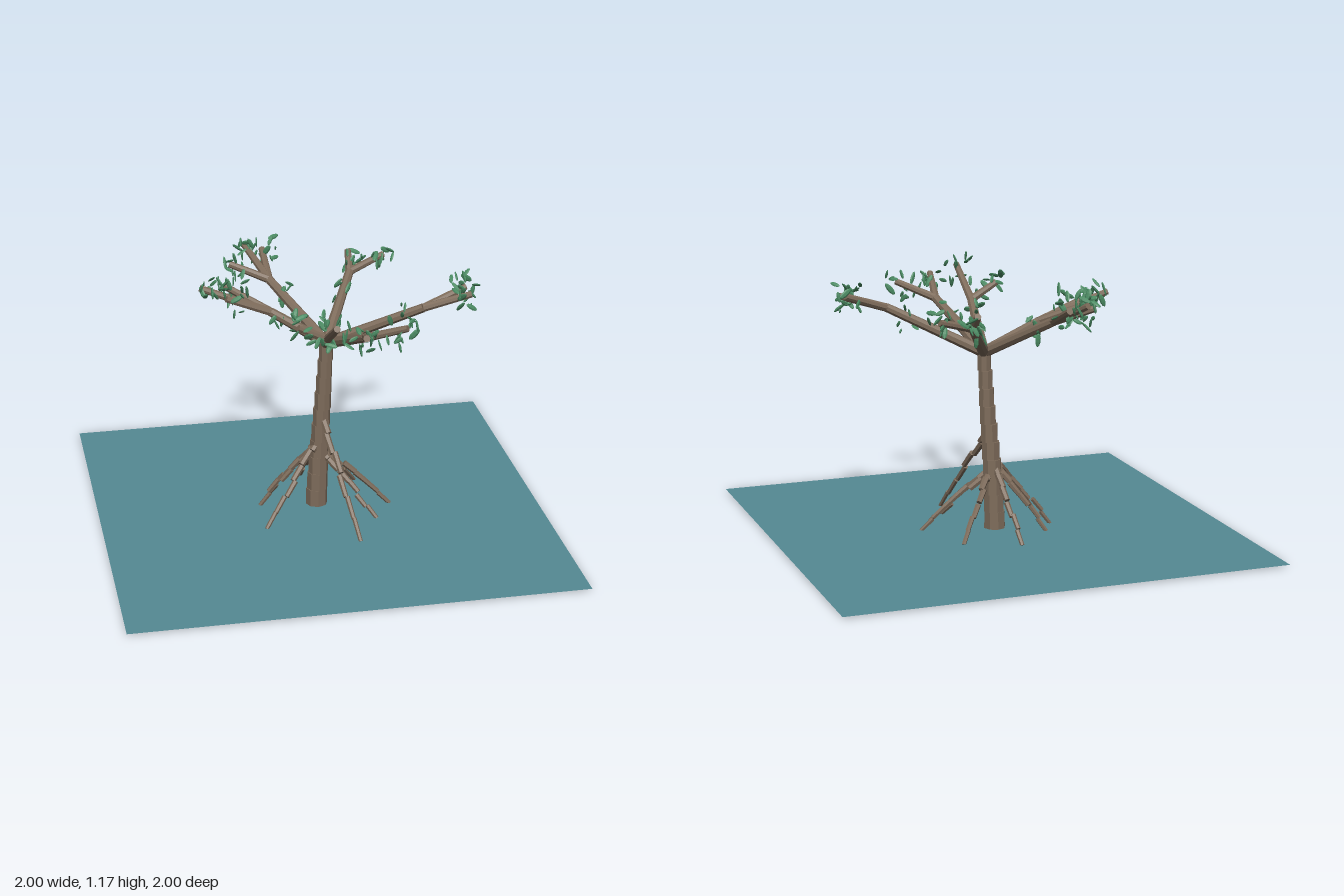
import * as THREE from 'three';

const V = (x, y, z) => new THREE.Vector3(x, y, z);
const UP = V(0, 1, 0);
const bark = new THREE.MeshStandardMaterial({ color: 0x7d6b5a, flatShading: true });
const leafGreen = new THREE.MeshStandardMaterial({ color: 0x4a8a62, flatShading: true });
const waterBlue = new THREE.MeshStandardMaterial({ color: 0x558a94, side: THREE.DoubleSide });

// Small seeded random source
function seeded(seed) {
  return () => {
    seed = (seed * 16807) % 2147483647;
    return seed / 2147483647;
  };
}

// Tapered cylinder between two points
function limb(name, a, b, r0, r1, sides = 8) {
  const dir = b.clone().sub(a);
  const mesh = new THREE.Mesh(new THREE.CylinderGeometry(r1, r0, dir.length(), sides), bark);
  mesh.position.copy(a).add(b).multiplyScalar(0.5);
  mesh.quaternion.setFromUnitVectors(UP, dir.normalize());
  mesh.name = name;
  return mesh;
}

// Each branch: fork point, then the twig tips growing from it
const BRANCHES = [
  { fork: [0.44, 1.01, 0.16], tips: [[0.65, 1.07, 0.19], [0.64, 1.08, 0.12]] },
  { fork: [0.22, 1.0, -0.37], tips: [[0.23, 1.07, -0.46], [0.39, 1.05, -0.43]] },
  { fork: [-0.16, 1.0, -0.34], tips: [[-0.33, 1.06, -0.41], [-0.24, 1.1, -0.54], [-0.16, 1.08, -0.53]] },
  { fork: [-0.2, 0.95, -0.07], tips: [[-0.51, 1.07, -0.11], [-0.39, 1.04, -0.2], [-0.4, 1.03, -0.06]] },
  { fork: [-0.03, 0.98, 0.36], tips: [[-0.03, 1.11, 0.57], [-0.16, 1.05, 0.38]] },
  { fork: [0.13, 0.99, 0.4], tips: [[0.09, 1.07, 0.6], [0.29, 1.06, 0.5]] },
];

// Each root: ground end x, z and the height where it leaves the trunk
const ROOTS = [
  [-0.02, -0.34, 0.3], [0.22, -0.24, 0.28], [0.33, 0.03, 0.28], [0.12, 0.38, 0.45],
  [-0.27, 0.18, 0.33], [-0.2, -0.17, 0.3], [0.24, 0.17, 0.27], [-0.26, -0.06, 0.32],
];

export function createModel() {
  const model = new THREE.Group();
  const rand = seeded(4217);
  const spread = (s) => (rand() * 2 - 1) * s;

  // Water surface
  const water = new THREE.Mesh(new THREE.PlaneGeometry(2, 2), waterBlue);
  water.rotation.x = -Math.PI / 2;
  water.position.y = 0.002;
  water.name = 'water';
  model.add(water);

  // Trunk: stacked upright sections that step along a gentle lean
  const lean = new THREE.CatmullRomCurve3([
    V(0, 0, -0.035), V(0.012, 0.27, -0.035), V(0.025, 0.54, -0.016), V(0.036, 0.81, 0),
  ]);
  const trunk = new THREE.Group();
  trunk.name = 'trunk';
  const sections = 10;
  const height = 0.81 / sections;
  for (let i = 0; i < sections; i++) {
    const p = lean.getPoint(i / (sections - 1));
    const r = 0.05 - 0.018 * (i / (sections - 1));
    const section = new THREE.Mesh(new THREE.CylinderGeometry(r * 0.97, r, height, 8), bark);
    section.position.set(p.x, (i + 0.5) * height, p.z);
    section.name = 'trunkSection';
    trunk.add(section);
  }
  model.add(trunk);

  // Prop roots: staggered straight pieces arching from trunk to water
  const roots = new THREE.Group();
  roots.name = 'propRoots';
  for (const [x, z, top] of ROOTS) {
    const start = lean.getPoint(top / 0.81);
    const path = new THREE.QuadraticBezierCurve3(
      start, V(start.x + (x - start.x) * 0.5, top * 0.58, start.z + (z - start.z) * 0.5), V(x, 0, z));
    const pieces = 6;
    for (let i = 0; i < pieces; i++) {
      const a = path.getPoint(i / pieces);
      const b = path.getPoint((i + 1) / pieces);
      if (i < pieces - 1) {
        const step = V(spread(0.008), spread(0.008), spread(0.008));
        a.add(step);
        b.add(step);
      }
      const r = 0.017 - 0.0013 * i;
      roots.add(limb('rootPiece', a, b, r, r * 0.9, 6));
    }
  }
  model.add(roots);

  // Leaf: flattened, elongated pod
  const leafShape = new THREE.SphereGeometry(1, 6, 5);
  leafShape.scale(0.011, 0.028, 0.005);
  const leaves = new THREE.Group();
  leaves.name = 'leaves';
  const scatter = (centre, count, radius) => {
    for (let i = 0; i < count; i++) {
      const leaf = new THREE.Mesh(leafShape, leafGreen);
      leaf.position.copy(centre).add(V(spread(radius), spread(radius), spread(radius)));
      leaf.rotation.set(spread(1.3), spread(Math.PI), spread(1.3));
      leaf.scale.setScalar(0.8 + rand() * 0.4);
      leaf.name = 'leaf';
      leaves.add(leaf);
    }
  };

  // Crown: six branches from the trunk top, each forking into leafy twigs
  const crown = new THREE.Group();
  crown.name = 'crown';
  const base = V(0.038, 0.81, 0);
  for (const { fork, tips } of BRANCHES) {
    const f = V(...fork);
    crown.add(limb('branch', base, f, 0.026, 0.02));
    scatter(base.clone().lerp(f, 0.75), 5, 0.055);
    for (const tip of tips) {
      const t = V(...tip);
      crown.add(limb('twig', f, t, 0.019, 0.015));
      scatter(f.clone().lerp(t, 0.85), 11, 0.06);
    }
  }
  model.add(crown, leaves);

  return model;
}
